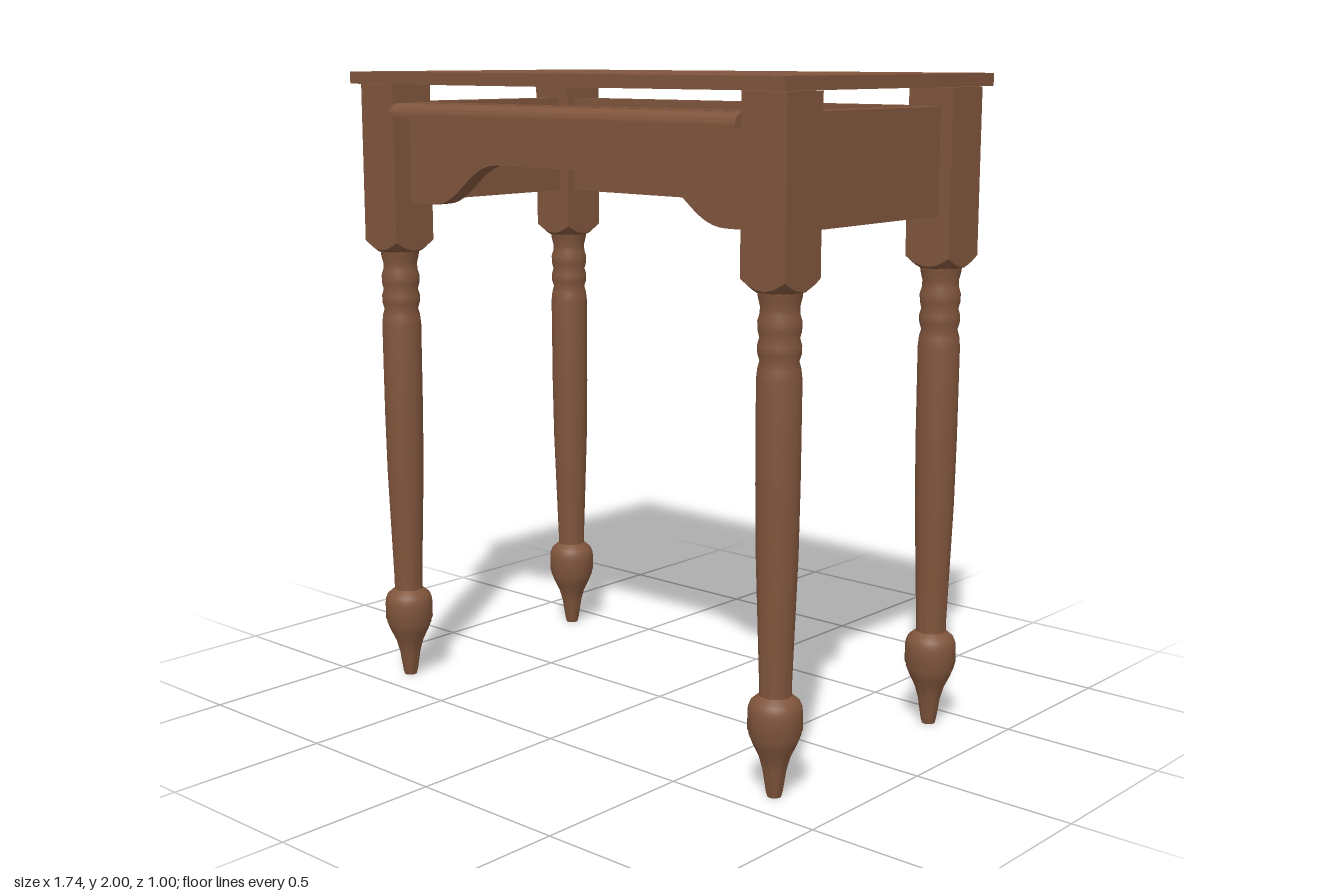
import * as THREE from 'three';
import { toCreasedNormals } from 'three/addons/utils/BufferGeometryUtils.js';

const wood = new THREE.MeshStandardMaterial({ color: 0x80553c });
wood.name = 'brown wood';

function add(parent, name, geometry) {
  const mesh = new THREE.Mesh(geometry, wood);
  mesh.name = name;
  parent.add(mesh);
  return mesh;
}

// Board given by its limits on each axis
function board(parent, name, x0, x1, y0, y1, z0, z1) {
  const mesh = add(parent, name, new THREE.BoxGeometry(x1 - x0, y1 - y0, z1 - z0));
  mesh.position.set((x0 + x1) / 2, (y0 + y1) / 2, (z0 + z1) / 2);
}

// Square leg block whose lower corners are turned away
function legBlockGeometry() {
  const g = new THREE.BoxGeometry(0.152, 0.53, 0.155, 10, 1, 10);
  const p = g.attributes.position;
  for (let i = 0; i < p.count; i++) {
    if (p.getY(i) < 0) {
      const r = Math.hypot(p.getX(i), p.getZ(i));
      p.setY(i, -0.265 + 0.9 * Math.max(0, r - 0.07));
    }
  }
  g.translate(0, 1.695, 0);
  g.computeVertexNormals();
  return g;
}

// Turned shaft and foot, from the floor up
function turnedLegGeometry() {
  const profile = [
    [0, 0], [0.02, 0], [0.024, 0.015], [0.034, 0.08], [0.045, 0.12], [0.062, 0.155],
    [0.074, 0.185], [0.074, 0.19], [0.078, 0.2], [0.078, 0.25], [0.076, 0.265], [0.07, 0.28],
    [0.056, 0.292], [0.046, 0.3], [0.046, 0.33], [0.052, 0.5], [0.059, 0.7],
    [0.062, 0.9], [0.063, 1.19], [0.06, 1.22], [0.054, 1.242], [0.06, 1.262],
    [0.061, 1.285], [0.055, 1.305], [0.06, 1.325], [0.061, 1.35], [0.055, 1.37],
    [0.054, 1.39], [0.06, 1.415], [0.063, 1.435]
  ].map(([r, y]) => new THREE.Vector2(r, y));
  return toCreasedNormals(new THREE.LatheGeometry(profile, 32), 0.6);
}

// Front apron with an arched lower edge
function archedApronGeometry() {
  const low = 1.588, high = 1.722;
  const s = new THREE.Shape();
  s.moveTo(-0.72, 1.905);
  s.lineTo(-0.72, low);
  s.lineTo(-0.6, low);
  s.bezierCurveTo(-0.47, low, -0.44, high, -0.3, high);
  s.lineTo(0.3, high);
  s.bezierCurveTo(0.44, high, 0.47, low, 0.6, low);
  s.lineTo(0.72, low);
  s.lineTo(0.72, 1.905);
  const g = new THREE.ExtrudeGeometry(s, { depth: 0.055, bevelEnabled: false, curveSegments: 16 });
  g.translate(0, 0, 0.345);
  return toCreasedNormals(g, 0.6);
}

// Quarter-round moulding along the top of the front apron
function mouldingGeometry() {
  const s = new THREE.Shape();
  s.moveTo(0.39, 1.862);
  s.lineTo(0.485, 1.862);
  s.bezierCurveTo(0.487, 1.885, 0.475, 1.903, 0.45, 1.903);
  s.lineTo(0.39, 1.903);
  const g = new THREE.ExtrudeGeometry(s, { depth: 1.396, bevelEnabled: false, curveSegments: 10 });
  g.rotateY(-Math.PI / 2); // profile z runs along the local x axis
  g.translate(0.698, 0, 0);
  return toCreasedNormals(g, 0.6);
}

export function createModel() {
  const model = new THREE.Group();
  model.name = 'side table';

  // Table top: framed by end and edge boards, with slats between
  const top = new THREE.Group();
  top.name = 'tableTop';
  model.add(top);
  const y0 = 1.962, y1 = 2;
  board(top, 'backBoard', -0.872, 0.872, y0, y1, -0.5, -0.376);
  board(top, 'frontBoard', -0.872, 0.872, y0, y1, 0.37, 0.496);
  for (const [name, x] of [['leftEndBoard', 0.758], ['rightEndBoard', -0.758]]) {
    board(top, name, x - 0.114, x + 0.114, y0, y1, -0.374, 0.368);
  }
  const slats = [[-0.374, -0.246], [-0.241, -0.08], [-0.071, 0.06], [0.065, 0.232], [0.237, 0.368]];
  for (const [a, b] of slats) board(top, 'slat', -0.642, 0.642, y0, y1, a, b);

  // Four legs
  const block = legBlockGeometry();
  const turned = turnedLegGeometry();
  for (const sx of [-1, 1]) {
    for (const sz of [-1, 1]) {
      const leg = new THREE.Group();
      leg.name = (sz > 0 ? 'front' : 'back') + (sx > 0 ? 'Left' : 'Right') + 'Leg';
      add(leg, 'legBlock', block);
      add(leg, 'turnedLeg', turned);
      leg.position.set(sx * 0.78, 0, sz * 0.388);
      model.add(leg);
    }
  }

  // Aprons set back from the faces of the legs
  board(model, 'leftApron', 0.745, 0.815, 1.588, 1.905, -0.32, 0.32);
  board(model, 'rightApron', -0.815, -0.745, 1.588, 1.905, -0.32, 0.32);
  board(model, 'backApron', -0.72, 0.72, 1.588, 1.905, -0.395, -0.345);
  add(model, 'frontApron', archedApronGeometry());
  add(model, 'frontMoulding', mouldingGeometry());
  return model;
}
